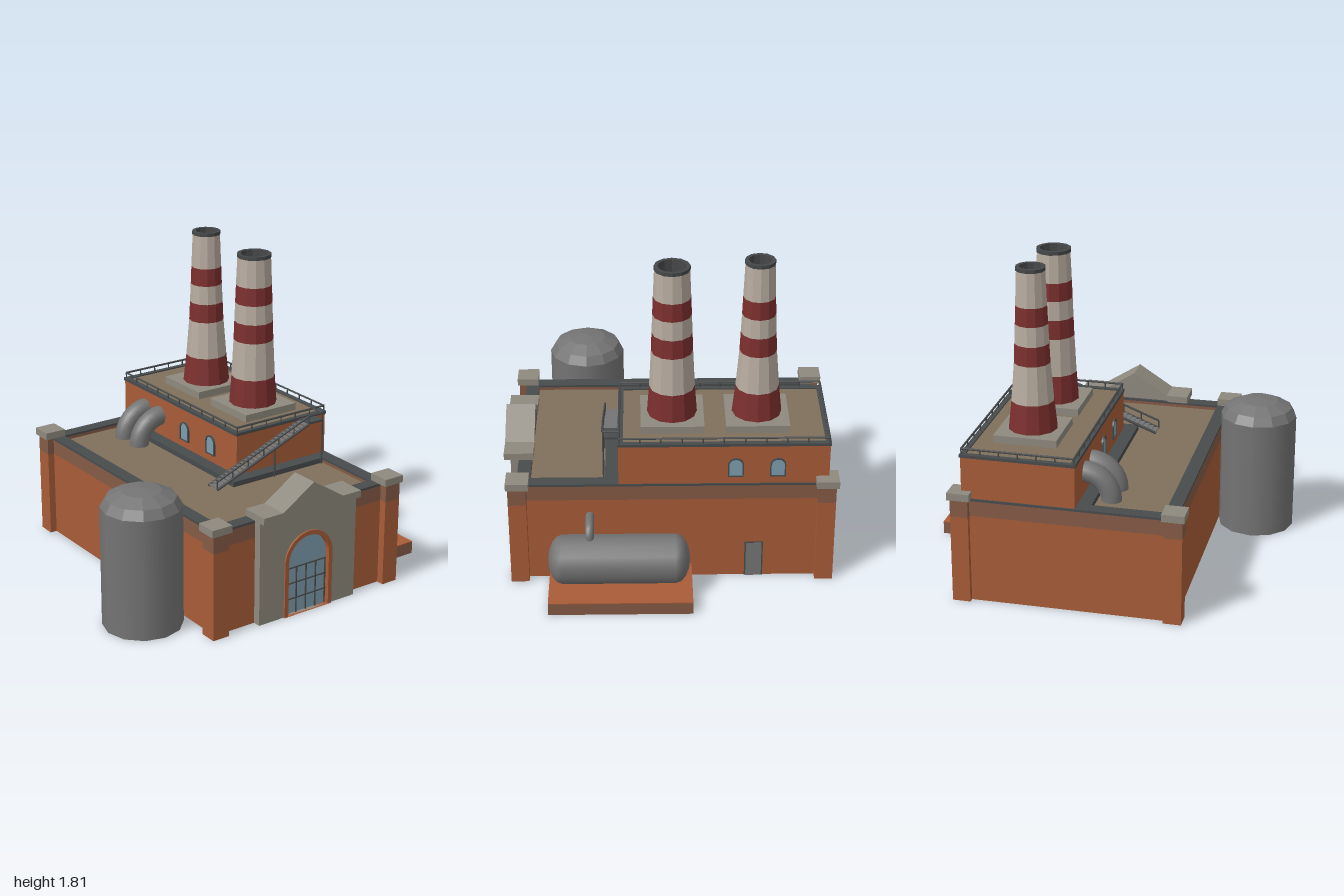
import * as THREE from 'three';

const mat = (color, opts = {}) => new THREE.MeshStandardMaterial({ color, ...opts });
const DS = { side: THREE.DoubleSide };
const M = {
  brick: mat(0xa85c38), band: mat(0x855a45), stone: mat(0x8f897e), roof: mat(0x80705c),
  dark: mat(0x484b4d), glass: mat(0x7d9dae), steel: mat(0x747474),
  dome: mat(0x747474, { flatShading: true }),
  red: mat(0x7c2f2e, { flatShading: true, ...DS }), white: mat(0xb8aca0, { flatShading: true, ...DS }),
  soot: mat(0x454749, { flatShading: true, ...DS }),
};

export function createModel() {
  const root = new THREE.Group();
  const add = (name, geo, m, parent = root) => {
    const mesh = new THREE.Mesh(geo, m);
    mesh.name = name;
    parent.add(mesh);
    return mesh;
  };
  const group = (name) => {
    const g = new THREE.Group();
    g.name = name;
    root.add(g);
    return g;
  };
  const box = (name, x0, x1, y0, y1, z0, z1, m, parent) =>
    add(name, new THREE.BoxGeometry(x1 - x0, y1 - y0, z1 - z0)
      .translate((x0 + x1) / 2, (y0 + y1) / 2, (z0 + z1) / 2), m, parent);
  // rectangular frame lying flat, t wide
  const frame = (name, x0, x1, y0, y1, z0, z1, t, m, parent = root) => {
    box(name, x0, x1, y0, y1, z0, z0 + t, m, parent);
    box(name, x0, x1, y0, y1, z1 - t, z1, m, parent);
    box(name, x0, x0 + t, y0, y1, z0 + t, z1 - t, m, parent);
    box(name, x1 - t, x1, y0, y1, z0 + t, z1 - t, m, parent);
  };
  // straight round bar between two points
  const bar = (name, a, b, r, m, parent) => {
    const A = new THREE.Vector3(...a), B = new THREE.Vector3(...b);
    const mesh = add(name, new THREE.CylinderGeometry(r, r, A.distanceTo(B), 6), m, parent);
    mesh.position.copy(A).lerp(B, 0.5);
    mesh.quaternion.setFromUnitVectors(new THREE.Vector3(0, 1, 0), B.sub(A).normalize());
  };
  // round-headed opening, centred on x = cx
  const arch = (cx, r, y0, spring, S = THREE.Shape) => {
    const s = new S();
    s.moveTo(cx - r, y0).lineTo(cx + r, y0).lineTo(cx + r, spring);
    s.absarc(cx, spring, r, 0, Math.PI, false);
    s.closePath();
    return s;
  };
  const extrude = (shape, depth) =>
    new THREE.ExtrudeGeometry(shape, { depth, bevelEnabled: false, curveSegments: 12 });

  // main hall with band and parapet
  const hall = group('mainHall');
  box('hallWalls', -0.555, 0.63, 0, 0.505, -0.88, 0.84, M.brick, hall);
  box('hallRoof', -0.5, 0.6, 0.5, 0.575, -0.83, 0.79, M.roof, hall);
  frame('wallBand', -0.555, 0.63, 0.505, 0.592, -0.88, 0.84, 0.075, M.band, hall);
  frame('parapet', -0.555, 0.63, 0.592, 0.605, -0.88, 0.84, 0.075, M.dark, hall);

  // corner pilasters
  for (const x of [-0.545, 0.63]) for (const z of [-0.86, 0.835]) {
    const p = group('cornerPilaster');
    box('pilasterShaft', x - 0.05, x + 0.05, 0, 0.505, z - 0.05, z + 0.05, M.brick, p);
    box('pilasterBand', x - 0.05, x + 0.05, 0.505, 0.605, z - 0.05, z + 0.05, M.band, p);
    box('pilasterCap', x - 0.063, x + 0.063, 0.605, 0.647, z - 0.065, z + 0.06, M.stone, p);
  }

  // entrance portal with arched window
  const portal = group('entrancePortal'), cx = 0.036;
  const front = new THREE.Shape();
  front.moveTo(-0.293, 0).lineTo(0.365, 0).lineTo(0.365, 0.61).lineTo(0.25, 0.61)
    .lineTo(cx, 0.74).lineTo(-0.178, 0.61).lineTo(-0.293, 0.61);
  front.holes.push(arch(cx, 0.15, 0.001, 0.317, THREE.Path));
  add('portalFace', extrude(front, 0.105).translate(0, 0, 0.78), M.stone, portal);
  const cornice = new THREE.Shape();
  [[-0.295, 0.605], [-0.18, 0.605], [cx, 0.735], [0.252, 0.605], [0.367, 0.605], [0.367, 0.645],
    [0.24, 0.645], [cx, 0.775], [-0.168, 0.645], [-0.295, 0.645]]
    .forEach(([x, y], i) => (i ? cornice.lineTo(x, y) : cornice.moveTo(x, y)));
  add('portalCornice', extrude(cornice, 0.165).translate(0, 0, 0.757), M.stone, portal);
  const surround = arch(cx, 0.163, 0, 0.317);
  surround.holes.push(arch(cx, 0.138, 0.001, 0.317, THREE.Path));
  add('brickArch', extrude(surround, 0.045).translate(0, 0, 0.85), M.brick, portal);
  add('archGlass', extrude(arch(cx, 0.145, 0, 0.317), 0.02).translate(0, 0, 0.845), M.glass, portal);
  for (let i = -2; i <= 2; i++)
    box('mullion', cx + i * 0.066 - 0.003, cx + i * 0.066 + 0.003, 0, 0.275, 0.86, 0.872, M.dark, portal);
  for (const y of [0.09, 0.183, 0.275])
    box('transom', cx - 0.138, cx + 0.138, y - 0.003, y + 0.003, 0.86, 0.872, M.dark, portal);

  // upper block with roof edge
  const upper = group('upperBlock');
  box('upperWalls', -0.005, 0.625, 0.5, 0.845, -0.872, 0.28, M.brick, upper);
  box('upperRoof', 0.01, 0.61, 0.84, 0.85, -0.86, 0.265, M.roof, upper);
  frame('roofEdge', -0.01, 0.63, 0.84, 0.857, -0.877, 0.283, 0.03, M.dark, upper);
  box('roofUpstand', -0.08, -0.005, 0.575, 0.605, -0.805, 0.355, M.dark, upper);
  box('roofUpstand', -0.005, 0.555, 0.575, 0.605, 0.28, 0.355, M.dark, upper);

  // arched side windows: [x, z, facing]
  for (const [x, z, s] of [[0.625, -0.36, 1], [0.625, -0.59, 1], [-0.005, -0.23, -1], [-0.005, 0.03, -1]]) {
    const w = group('archedWindow');
    const rim = arch(0, 0.043, 0.65, 0.722);
    rim.holes.push(arch(0, 0.036, 0.656, 0.722, THREE.Path));
    add('windowFrame', extrude(rim, 0.01), M.dark, w);
    add('windowGlass', extrude(arch(0, 0.037, 0.655, 0.722), 0.004), M.glass, w);
    w.position.set(x, 0, z);
    w.rotation.y = s * Math.PI / 2;
  }

  // side door
  box('sideDoorFrame', 0.62, 0.634, 0, 0.222, -0.52, -0.417, M.dark);
  box('sideDoor', 0.62, 0.638, 0, 0.215, -0.512, -0.425, M.steel);

  // striped chimneys
  const levels = [0.88, 1.055, 1.273, 1.383, 1.493, 1.597, 1.76];
  const chimney = (z, radii, top) => {
    const g = group('chimney');
    box('chimneyPlinth', -0.178, 0.178, 0.85, 0.893, -0.175, 0.175, M.stone, g);
    const ys = [...levels.slice(0, 6), top - 0.02];
    for (let i = 0; i < 6; i++) {
      const h = ys[i + 1] - ys[i];
      add(i % 2 ? 'paleBand' : 'redBand', new THREE.CylinderGeometry(radii[i + 1], radii[i], h, 12, 1, true)
        .translate(0, ys[i] + h / 2, 0), i % 2 ? M.white : M.red, g);
    }
    const r = radii[6];
    const rim = [[r - 0.03, top - 0.5], [r - 0.018, top], [r + 0.003, top], [r + 0.003, top - 0.02], [r - 0.005, top - 0.02]];
    add('chimneyRim', new THREE.LatheGeometry(rim.map((p) => new THREE.Vector2(...p)), 12), M.soot, g);
    g.position.set(0.327, 0, z);
  };
  chimney(-0.017, [0.139, 0.126, 0.115, 0.111, 0.107, 0.103, 0.096], 1.778);
  chimney(-0.485, [0.139, 0.12, 0.102, 0.097, 0.092, 0.088, 0.08], 1.81);

  // roof railing
  const rail = group('roofRailing');
  const xs = [0, 0.62], zs = [-0.865, 0.275], ry = 0.888;
  for (const x of xs) {
    bar('handrail', [x, ry, zs[0]], [x, ry, zs[1]], 0.006, M.dark, rail);
    for (let i = 0; i <= 10; i++) {
      const z = zs[0] + i * 0.114;
      bar('railPost', [x, 0.85, z], [x, ry, z], 0.004, M.dark, rail);
    }
  }
  for (const z of zs) {
    bar('handrail', [xs[0], ry, z], [xs[1], ry, z], 0.006, M.dark, rail);
    for (let i = 1; i < 6; i++) bar('railPost', [i * 0.103, 0.85, z], [i * 0.103, ry, z], 0.004, M.dark, rail);
  }

  // outside stair with landing
  const stair = group('roofStair'), n = 24;
  box('landing', 0.44, 0.54, 0.838, 0.85, 0.28, 0.368, M.dark, stair);
  for (let i = 0; i < n; i++) {
    const x = -0.2 + i * 0.64 / n, y = 0.59 + (i + 1) * 0.25 / n;
    box('tread', x, x + 0.029, y - 0.006, y, 0.284, 0.364, M.steel, stair);
  }
  for (const z of [0.285, 0.365]) bar('stringer', [-0.2, 0.592, z], [0.44, 0.84, z], 0.008, M.dark, stair);
  bar('stairHandrail', [-0.2, 0.64, 0.365], [0.44, ry, 0.365], 0.006, M.dark, stair);
  bar('stairHandrail', [0.44, ry, 0.365], [0.54, ry, 0.365], 0.006, M.dark, stair);
  bar('stairHandrail', [0.54, ry, 0.365], [0.54, ry, 0.275], 0.006, M.dark, stair);
  for (let i = 0; i <= 6; i++) {
    const x = -0.2 + i * 0.64 / 6, y = 0.592 + i * 0.248 / 6;
    bar('stairPost', [x, y, 0.365], [x, y + 0.048, 0.365], 0.004, M.dark, stair);
  }
  bar('stairSupport', [0.54, 0.575, 0.362], [0.54, ry, 0.362], 0.005, M.dark, stair);
  bar('stairSupport', [0.2, 0.575, 0.362], [0.2, 0.747, 0.362], 0.005, M.dark, stair);

  // twin elbow ducts on the roof
  for (const z of [-0.65, -0.493]) {
    const path = new THREE.CurvePath();
    const v = (x, y) => new THREE.Vector3(x, y, z);
    path.add(new THREE.CubicBezierCurve3(v(0.01, 0.73), v(-0.085, 0.73), v(-0.155, 0.66), v(-0.155, 0.57)));
    add('elbowDuct', new THREE.TubeGeometry(path, 8, 0.058, 12), M.steel);
  }

  // upright tank
  const upright = group('uprightTank');
  add('tankShell', new THREE.CylinderGeometry(0.222, 0.222, 0.69, 12).translate(0, 0.345, 0), M.steel, upright);
  const domePts = [0, 1, 2, 3].map((i) =>
    new THREE.Vector2(0.222 * Math.cos(i * Math.PI / 6), 0.69 + 0.103 * Math.sin(i * Math.PI / 6)));
  add('tankDome', new THREE.LatheGeometry(domePts, 12), M.dome, upright);
  upright.position.set(-0.778, 0, 0.483);

  // horizontal tank on its slab
  const lying = group('horizontalTank');
  box('tankSlab', 0.625, 0.995, 0, 0.07, -0.123, 0.667, M.band, lying);
  box('slabTop', 0.625, 0.995, 0.07, 0.075, -0.123, 0.667, M.brick, lying);
  const pts = [];
  for (let i = 0; i <= 4; i++) {
    const a = i * Math.PI / 8;
    pts.push(new THREE.Vector2(0.138 * Math.sin(a), -0.31 - 0.08 * Math.cos(a)));
  }
  for (let i = 4; i >= 0; i--) pts.push(new THREE.Vector2(pts[i].x, -pts[i].y));
  add('tankBody', new THREE.LatheGeometry(pts, 14).rotateX(Math.PI / 2).translate(0.772, 0.212, 0.28), M.steel, lying);
  const feed = new THREE.CatmullRomCurve3([[0.62, 0.405], [0.7, 0.405], [0.745, 0.395], [0.768, 0.37], [0.772, 0.32]]
    .map(([x, y]) => new THREE.Vector3(x, y, 0.44)));
  add('feedPipe', new THREE.TubeGeometry(feed, 14, 0.024, 10), M.steel, lying);

  return root;
}
